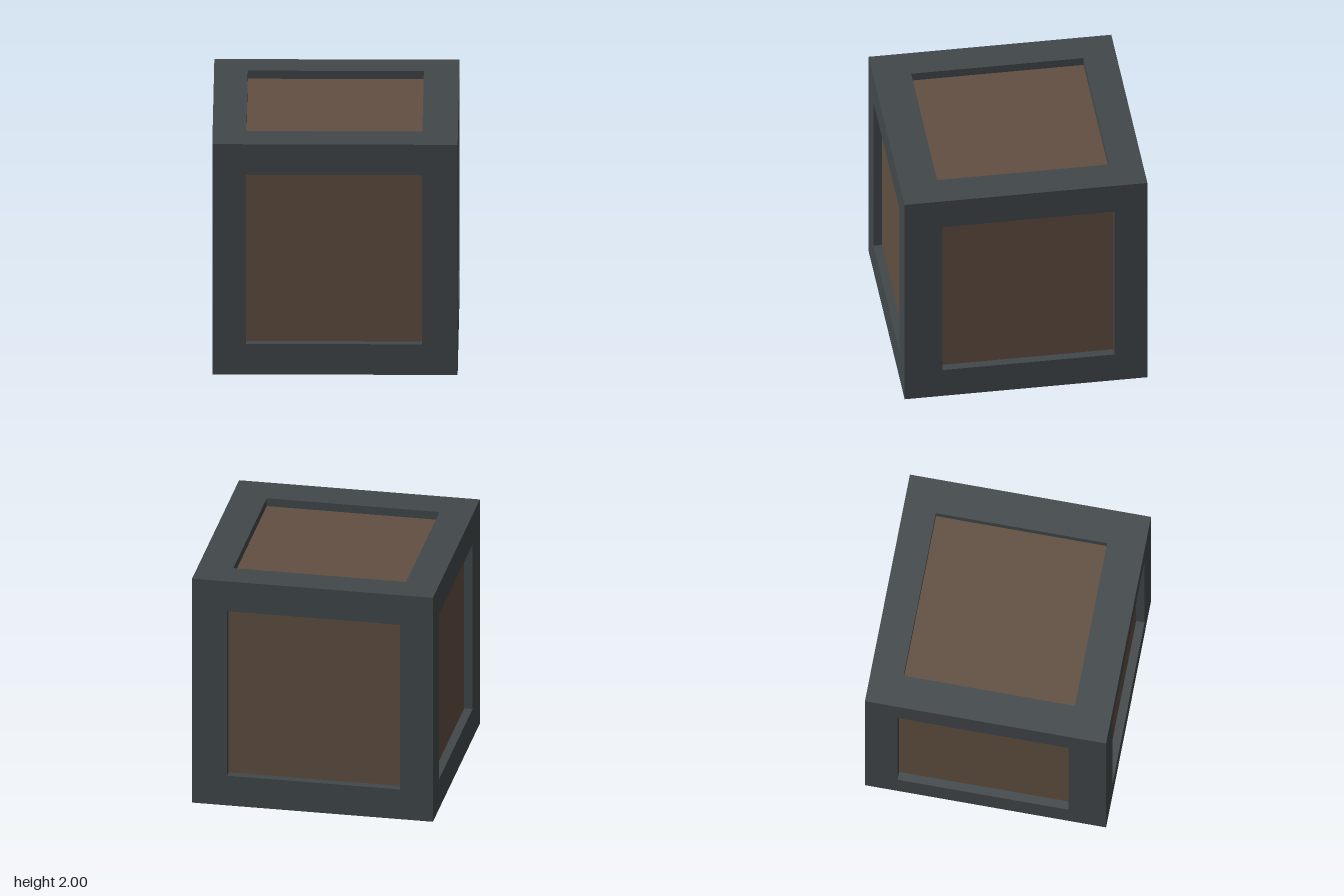
import * as THREE from 'three';

export function createModel() {
  const model = new THREE.Group();
  model.name = 'crate';
  const metal = new THREE.MeshStandardMaterial({ color: 0x42484b });
  metal.name = 'dark slate frame';
  const wood = new THREE.MeshStandardMaterial({ color: 0x614f41 });
  wood.name = 'brown panel';

  // Box spanning [min, max] on each axis
  function addBox(name, material, [x0, x1], [y0, y1], [z0, z1]) {
    const mesh = new THREE.Mesh(new THREE.BoxGeometry(x1 - x0, y1 - y0, z1 - z0), material);
    mesh.position.set((x0 + x1) / 2, (y0 + y1) / 2, (z0 + z1) / 2);
    mesh.name = name;
    model.add(mesh);
  }

  // Recessed panels: the six sides of one inner box
  const inset = 0.07;
  const outer = [-1 + inset, 1 - inset];
  addBox('panels', wood, outer, [inset, 2 - inset], outer);

  // Span of each opening, and the frame strips on either side of it
  const openX = [-0.725, 0.71], openY = [0.265, 1.735], openZ = [-0.73, 0.69];
  const edgesX = [[-1, openX[0]], [openX[1], 1]];
  const edgesY = [[0, openY[0]], [openY[1], 2]];
  const edgesZ = [[-1, openZ[0]], [openZ[1], 1]];

  // Corner posts
  for (const x of edgesX) for (const z of edgesZ) addBox('cornerPost', metal, x, [0, 2], z);

  // Top and bottom rails between the posts
  for (const y of edgesY) {
    for (const z of edgesZ) addBox('crossRail', metal, openX, y, z);
    for (const x of edgesX) addBox('sideRail', metal, x, y, openZ);
  }

  return model;
}
